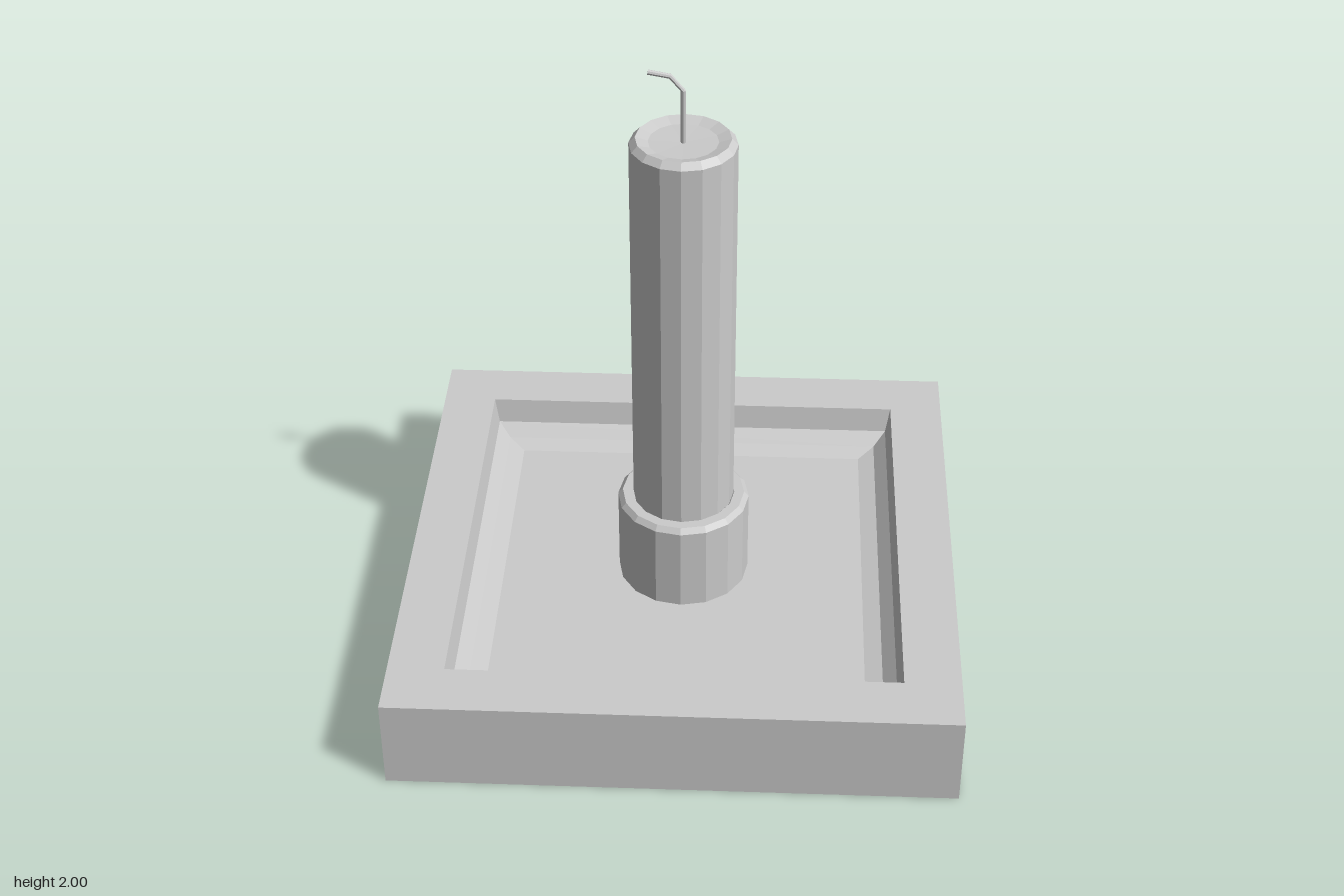
import * as THREE from 'three';

const material = new THREE.MeshStandardMaterial({ color: 0xcccccc, flatShading: true });

// Turns a [radius, y] profile around the y axis
function turned(name, profile, sides) {
  const points = profile.map(([r, y]) => new THREE.Vector2(r, y));
  const mesh = new THREE.Mesh(new THREE.LatheGeometry(points, sides), material);
  mesh.name = name;
  return mesh;
}

// Bends a cylinder along a path lying in the xy plane
function bentRod(name, path, radius, sides) {
  const pts = path.map(([x, y]) => new THREE.Vector2(x, y));
  const last = pts.length - 1;
  const geometry = new THREE.CylinderGeometry(radius, radius, 1, sides, last);
  const pos = geometry.attributes.position;
  for (let i = 0; i < pos.count; i++) {
    const row = Math.round((pos.getY(i) + 0.5) * last);
    const before = pts[Math.max(row - 1, 0)];
    const after = pts[Math.min(row + 1, last)];
    const dir = after.clone().sub(before).normalize();
    const offset = pos.getX(i);
    pos.setXY(i, pts[row].x + dir.y * offset, pts[row].y - dir.x * offset);
  }
  geometry.computeVertexNormals();
  const mesh = new THREE.Mesh(geometry, material);
  mesh.name = name;
  return mesh;
}

export function createModel() {
  const group = new THREE.Group();
  group.name = 'candleHolder';

  // Square tray: a four-sided turning, measured by half-width, with a sunken floor
  const trayProfile = [
    [0, 0], [0.876, 0], [0.876, 0.305], [0.7, 0.305],
    [0.685, 0.22], [0.645, 0.18], [0.59, 0.165], [0, 0.165],
  ].map(([half, y]) => [half * Math.SQRT2, y]);
  const tray = turned('tray', trayProfile, 4);
  tray.rotation.y = Math.PI / 4;
  group.add(tray);

  // Socket that grips the candle, with a bevelled rim
  group.add(turned('socket', [
    [0, 0.16], [0.212, 0.16], [0.212, 0.455], [0.197, 0.472], [0.165, 0.472], [0.155, 0.46],
  ], 16));

  // Candle with a bevelled edge and slightly dished top
  group.add(turned('candle', [
    [0, 0.4], [0.162, 0.4], [0.162, 1.76], [0.143, 1.78], [0.105, 1.768], [0, 1.765],
  ], 16));

  // Wick curling over to the model's right
  group.add(bentRod('wick', [
    [0, 1.76], [0, 1.935], [-0.038, 1.981], [-0.103, 1.993],
  ], 0.008, 8));

  return group;
}
